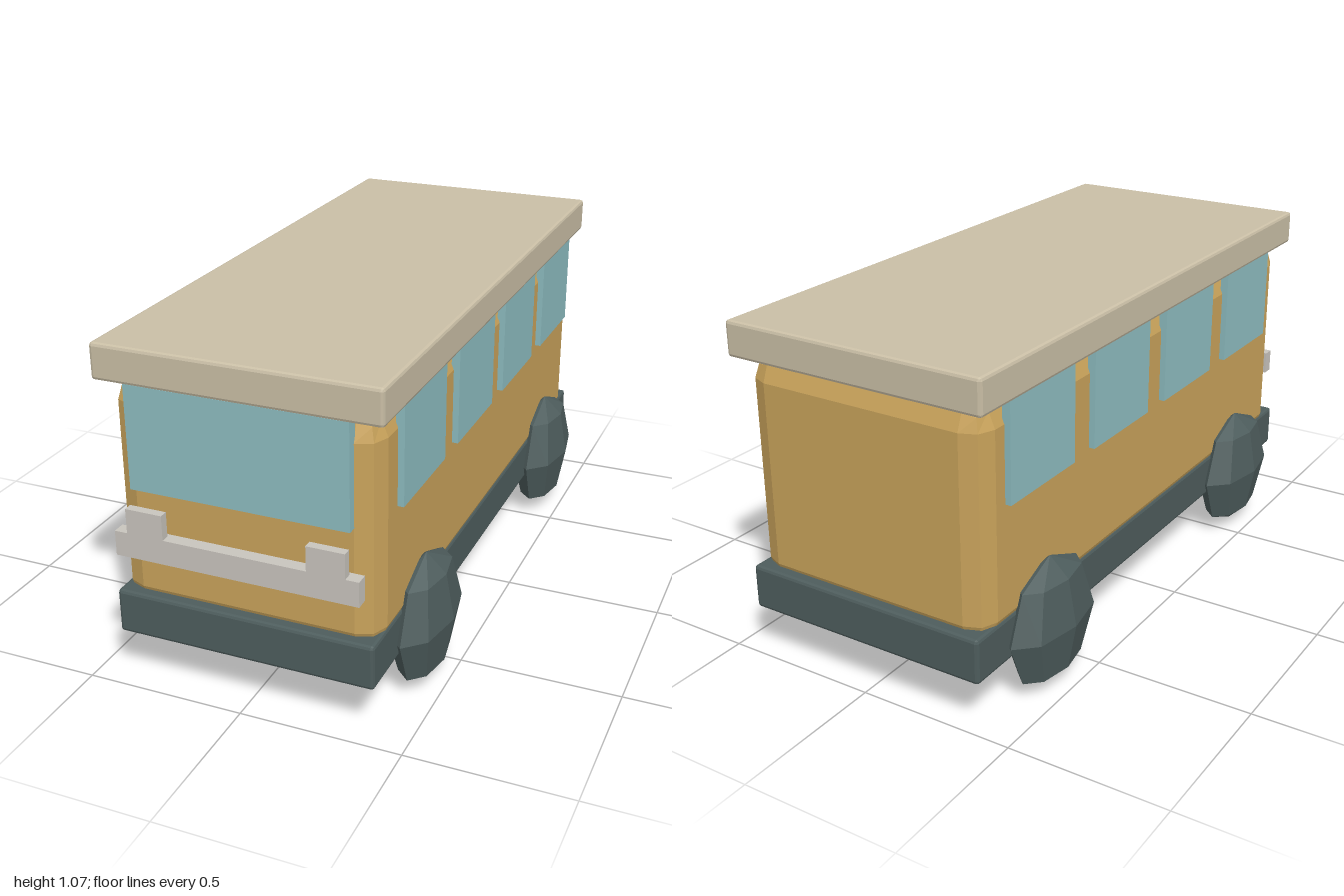
import * as THREE from 'three';
import { RoundedBoxGeometry } from 'three/addons/geometries/RoundedBoxGeometry.js';

function flat(name, color) {
  const m = new THREE.MeshStandardMaterial({ color, flatShading: true });
  m.name = name;
  return m;
}

export function createModel() {
  const group = new THREE.Group();
  const ochre = flat('ochre', 0xc9a35b);
  const tan = flat('tan', 0xcabfa6);
  const slate = flat('slate', 0x4e5d5d);
  const glass = flat('glass', 0x8ebdc1);
  const metal = flat('metal', 0xc9c5be);

  // Box from its min and max corners, with optional chamfered edges
  function box(name, material, [x0, y0, z0], [x1, y1, z1], bevel = 0) {
    const size = [x1 - x0, y1 - y0, z1 - z0];
    const geometry = bevel
      ? new RoundedBoxGeometry(...size, 1, bevel)
      : new THREE.BoxGeometry(...size);
    const mesh = new THREE.Mesh(geometry, material);
    mesh.name = name;
    mesh.position.set((x0 + x1) / 2, (y0 + y1) / 2, (z0 + z1) / 2);
    group.add(mesh);
  }

  // Main shell; its lower bevel sits inside the chassis
  box('body', ochre, [-0.404, 0.245, -0.968], [0.404, 0.96, 0.938], 0.07);
  box('chassis', slate, [-0.404, 0.164, -1], [0.404, 0.304, 0.97], 0.01);
  box('roof', tan, [-0.432, 0.96, -1], [0.432, 1.07, 0.97], 0.01);

  // Windows
  box('windscreen', glass, [-0.335, 0.643, 0.93], [0.335, 0.962, 0.966]);
  for (const z of [0.635, 0.192, -0.248, -0.69]) {
    box('leftWindow', glass, [0.397, 0.657, z - 0.165], [0.423, 0.962, z + 0.165]);
    box('rightWindow', glass, [-0.423, 0.657, z - 0.165], [-0.397, 0.962, z + 0.165]);
  }

  // Front bumper and headlights
  box('bumper', metal, [-0.375, 0.443, 0.96], [0.375, 0.52, 1]);
  box('leftHeadlight', metal, [0.22, 0.52, 0.973], [0.335, 0.597, 1]);
  box('rightHeadlight', metal, [-0.335, 0.52, 0.973], [-0.22, 0.597, 1]);

  // Faceted wheels, squashed sideways
  const wheelGeometry = new THREE.SphereGeometry(0.207, 8, 4);
  wheelGeometry.scale(0.435, 1, 1);
  for (const [end, z] of [['front', 0.6], ['back', -0.65]]) {
    for (const [side, x] of [['Left', 0.417], ['Right', -0.417]]) {
      const wheel = new THREE.Mesh(wheelGeometry, slate);
      wheel.name = `${end}${side}Wheel`;
      wheel.position.set(x, 0.207, z);
      group.add(wheel);
    }
  }
  return group;
}
